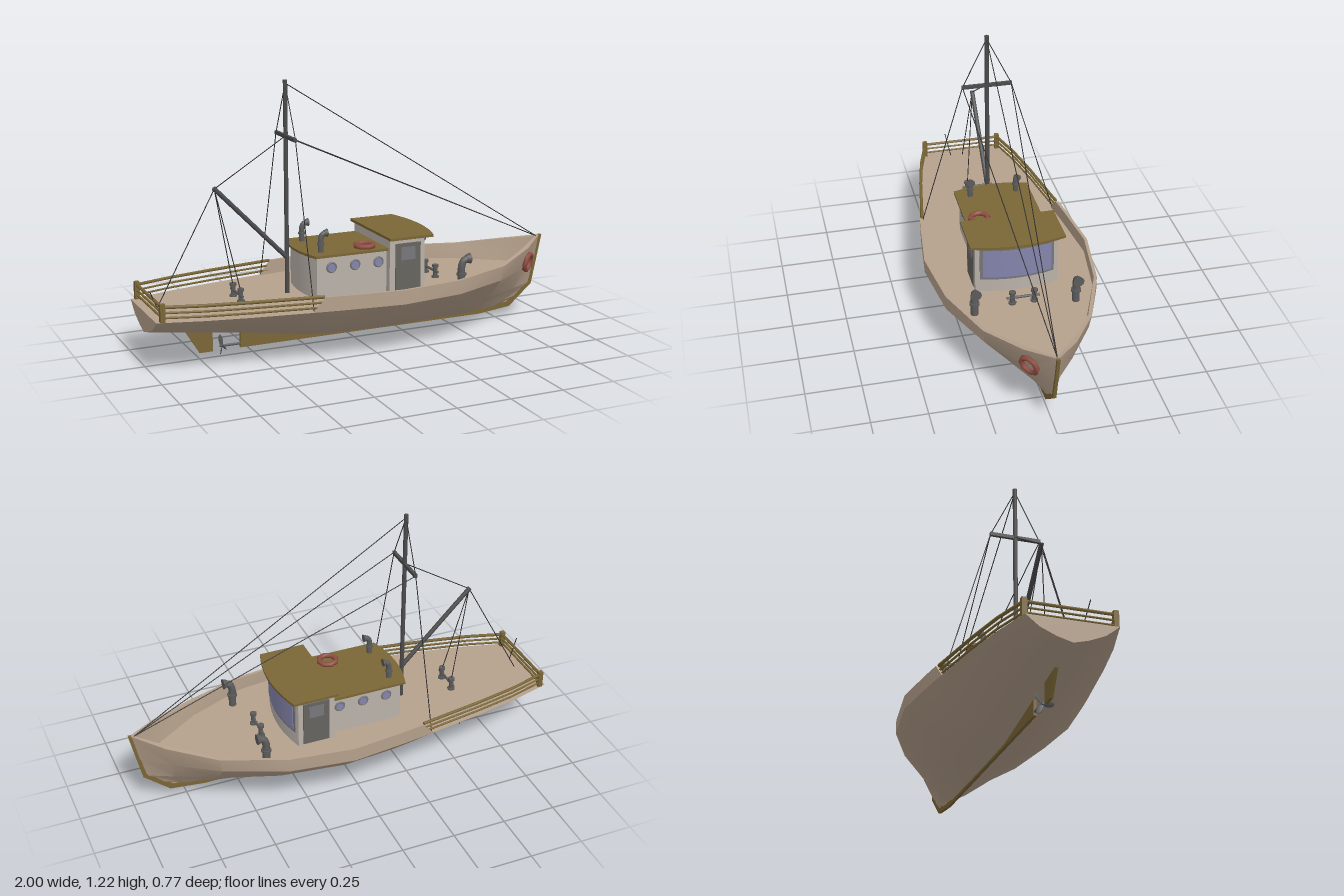
import * as THREE from 'three';
import { toCreasedNormals } from 'three/addons/utils/BufferGeometryUtils.js';

const V = (x, y, z) => new THREE.Vector3(x, y, z);
const mat = (color) => new THREE.MeshStandardMaterial({ color, side: THREE.DoubleSide });
const M = {
  hull: mat(0xb5a08c), trim: mat(0x7a6636), wall: mat(0xbab2aa), iron: mat(0x5c5c5c), spar: mat(0x4c4c4c),
  glass: mat(0x8484ac), frame: mat(0x77777c), door: mat(0x66645f), buoy: mat(0x8f4e42), rope: mat(0x2c2c2c),
};
const DECK = 0.26;

// stations from stern to stem: x, half width, rail height, keel height, flare, fineness
const STATIONS = [
  [-1, 0.195, DECK, 0.165, 1, 0], [-0.8, 0.25, DECK, 0.138, 1, 0], [-0.6, 0.29, DECK, 0.11, 1, 0],
  [-0.34, 0.332, DECK, 0.068, 1, 0], [-0.28, 0.342, 0.325, 0.058, 1, 0], [-0.18, 0.356, 0.325, 0.045, 1, 0],
  [0.07, 0.385, 0.325, 0.042, 1, 0], [0.37, 0.345, 0.325, 0.042, 1, 0.2], [0.65, 0.24, 0.332, 0.042, 0.96, 0.6],
  [0.85, 0.115, 0.365, 0.05, 0.88, 1],
];
const STEM = [[0.82, 0.06], [0.88, 0.105], [0.94, 0.16], [0.963, DECK], [0.99, 0.395],
  [0.965, 0.388], [0.945, DECK], [0.945, DECK]];

function createHull() {
  // each section runs keel - bilge - deck edge - rail - inside of bulwark - deck centre
  const sections = STATIONS.map(([x, w, top, k, flare, fine]) => {
    const h = DECK - k, wd = w * flare;
    const rows = [[0, k], [wd * (0.34 - 0.09 * fine), k + 0.19 * h], [wd * (0.7 - 0.15 * fine), k + 0.51 * h],
      [wd, DECK], [w, top], [w - 0.014, top], [wd - 0.014, DECK], [0, DECK]];
    return rows.map(([z, y], r) => {
      const px = x < 0.37 ? x : 0.37 + (x - 0.37) * (STEM[r][0] - 0.37) / 0.61;
      return [px, y, z];
    });
  });
  sections.push(STEM.map(([x, y]) => [x, y, 0]));
  const pos = [];
  for (const s of [1, -1]) {
    const tri = (a, b, c) => {
      for (const p of s > 0 ? [a, b, c] : [a, c, b]) pos.push(p[0], p[1], p[2] * s);
    };
    for (let i = 0; i < sections.length - 1; i++) {
      const A = sections[i], B = sections[i + 1];
      for (let r = 0; r < 7; r++) {
        tri(A[r], B[r], B[r + 1]);
        tri(A[r], B[r + 1], A[r + 1]);
      }
    }
    for (let r = 0; r < 6; r++) tri(sections[0][7], sections[0][r], sections[0][r + 1]); // transom
  }
  const g = new THREE.BufferGeometry();
  g.setAttribute('position', new THREE.Float32BufferAttribute(pos, 3));
  return toCreasedNormals(g, 0.45);
}

export function createModel() {
  const root = new THREE.Group();
  const add = (name, geo, material, x = 0, y = 0, z = 0, parent = root) => {
    const m = new THREE.Mesh(geo, material);
    m.name = name;
    m.position.set(x, y, z);
    parent.add(m);
    return m;
  };
  const group = (name, x = 0, y = 0, z = 0) => {
    const g = new THREE.Group();
    g.name = name;
    g.position.set(x, y, z);
    root.add(g);
    return g;
  };
  // round bar between two points
  const bar = (name, a, b, r, material, sides = 8, parent = root) => {
    const d = b.clone().sub(a);
    const m = add(name, new THREE.CylinderGeometry(r, r, d.length(), sides), material, 0, 0, 0, parent);
    m.position.copy(a).addScaledVector(d, 0.5);
    m.quaternion.setFromUnitVectors(V(0, 1, 0), d.normalize());
    return m;
  };
  // thin upright plate in the centre plane
  const plate = (name, pts, t) => {
    const shape = new THREE.Shape(pts.map((p) => new THREE.Vector2(...p)));
    add(name, new THREE.ExtrudeGeometry(shape, { depth: t, bevelEnabled: false }), M.trim, 0, 0, -t / 2);
  };
  // upright block whose fore and aft ends bulge outwards
  const block = (name, x0, x1, hw, back, front, y0, y1, material) => {
    const pts = [], N = 10;
    for (let i = 0; i <= N; i++) {
      const t = -1 + 2 * i / N;
      pts.push(new THREE.Vector2(x1 + front * (1 - t * t), t * hw));
    }
    for (let i = 0; i <= N; i++) {
      const t = 1 - 2 * i / N;
      pts.push(new THREE.Vector2(x0 - back * (1 - t * t), t * hw));
    }
    const g = new THREE.ExtrudeGeometry(new THREE.Shape(pts), { depth: y1 - y0, bevelEnabled: false });
    g.rotateX(-Math.PI / 2);
    add(name, toCreasedNormals(g, 0.5), material, 0, y0, 0);
  };

  add('hull', createHull(), M.hull);

  // keel, stem and rudder
  plate('keelAndStem', [[-0.56, 0.035], [0.66, 0.035], [0.825, 0.053], [0.945, 0.155], [0.997, 0.395], [0.983, 0.395],
    [0.93, 0.17], [0.81, 0.075], [0.6, 0.06], [-0.18, 0.06], [-0.56, 0.12]], 0.014);
  plate('rudder', [[-0.82, 0.15], [-0.75, 0.035], [-0.69, 0.035], [-0.69, 0.135]], 0.014);

  // propeller
  bar('propellerShaft', V(-0.55, 0.053, 0), V(-0.655, 0.053, 0), 0.006, M.iron);
  const prop = group('propeller', -0.645, 0.053, 0);
  for (let i = 0; i < 3; i++) {
    const g = new THREE.SphereGeometry(1, 8, 6);
    g.scale(0.003, 0.025, 0.014).rotateY(0.5).translate(0, 0.027, 0);
    g.rotateX(-2.7 + i * Math.PI * 2 / 3);
    add('propellerBlade', g, M.iron, 0, 0, 0, prop);
  }

  // deckhouse and wheelhouse
  block('deckhouse', -0.25, 0.1, 0.155, 0.02, 0, DECK, 0.455, M.wall);
  block('deckhouseRoof', -0.265, 0.09, 0.178, 0.03, 0, 0.452, 0.463, M.trim);
  block('wheelhouse', 0.09, 0.265, 0.19, 0, 0.03, DECK, 0.505, M.wall);
  block('wheelhouseRoof', 0.08, 0.295, 0.217, 0, 0.035, 0.504, 0.516, M.trim);
  block('windscreenFrame', 0.2, 0.274, 0.17, 0, 0.025, 0.325, 0.487, M.frame);
  block('windscreen', 0.2, 0.28, 0.157, 0, 0.022, 0.337, 0.475, M.glass);
  for (const s of [1, -1]) {
    add('door', new THREE.BoxGeometry(0.125, 0.215, 0.008), M.door, 0.18, 0.375, s * 0.191);
    add('doorWindow', new THREE.BoxGeometry(0.07, 0.06, 0.004), M.frame, 0.18, 0.435, s * 0.195);
    for (const x of [-0.18, -0.065, 0.05]) {
      add('portholeRim', new THREE.TorusGeometry(0.021, 0.005, 6, 16), M.frame, x, 0.4, s * 0.156);
      add('portholeGlass', new THREE.CylinderGeometry(0.02, 0.02, 0.006, 16).rotateX(Math.PI / 2), M.glass, x, 0.4, s * 0.156);
    }
  }

  // cowl vents facing forward
  const vent = (x, y, z, h, r) => {
    const g = group('cowlVent', x, y, z);
    const path = new THREE.CatmullRomCurve3([V(0, 0, 0), V(0, h * 0.5, 0), V(0, h - r * 1.6, 0),
      V(r * 0.45, h - r * 0.4, 0), V(r * 1.4, h, 0)]);
    add('ventPipe', new THREE.TubeGeometry(path, 14, r * 0.75, 10), M.iron, 0, 0, 0, g);
    add('ventMouth', new THREE.CylinderGeometry(r * 1.1, r * 0.75, r * 0.9, 10).rotateZ(-Math.PI / 2), M.iron, r * 1.4, h, 0, g);
    add('ventCollar', new THREE.CylinderGeometry(r, r, r * 0.5, 10), M.iron, 0, h * 0.45, 0, g);
  };
  for (const s of [1, -1]) {
    vent(0.435, DECK, s * 0.23, 0.127, 0.023);
    vent(-0.212, 0.46, s * 0.11, 0.088, 0.017);
  }

  // mooring bitts
  for (const x of [0.395, -0.57]) {
    const g = group('mooringBitts', x, DECK, 0);
    bar('bittBar', V(0, 0.03, -0.075), V(0, 0.03, 0.075), 0.006, M.iron, 8, g);
    for (const s of [1, -1]) {
      add('bittBase', new THREE.CylinderGeometry(0.018, 0.018, 0.008, 8), M.iron, 0, 0.004, s * 0.05, g);
      add('bittPost', new THREE.CylinderGeometry(0.011, 0.011, 0.055, 8), M.iron, 0, 0.03, s * 0.05, g);
      add('bittCap', new THREE.CylinderGeometry(0.016, 0.016, 0.012, 8), M.iron, 0, 0.056, s * 0.05, g);
    }
  }

  // lifebuoys
  const buoy = () => new THREE.TorusGeometry(0.041, 0.012, 8, 8);
  add('roofLifebuoy', buoy().rotateX(Math.PI / 2), M.buoy, 0, 0.472, 0.113);
  add('bowLifebuoy', buoy().rotateX(0.2).rotateY(0.68), M.buoy, 0.872, 0.29, 0.093);

  // mast, crosstree and boom
  bar('mast', V(-0.33, DECK, 0), V(-0.33, 1.225, 0), 0.0105, M.spar);
  add('crosstree', new THREE.BoxGeometry(0.014, 0.016, 0.235), M.spar, -0.33, 0.975, 0);
  bar('boom', V(-0.33, 0.425, 0), V(-0.668, 0.772, 0), 0.0105, M.spar);

  // rigging
  const top = V(-0.33, 1.21, 0), tip = V(-0.665, 0.768, 0), bow = V(0.97, 0.388, 0);
  const rope = (a, b) => bar('rigging', a, b, 0.0022, M.rope, 5);
  rope(top, bow);
  rope(tip, V(-0.33, 0.978, 0));
  rope(tip, V(-0.94, DECK, 0));
  for (const s of [1, -1]) {
    const end = V(-0.33, 0.975, s * 0.115);
    rope(end, bow);
    rope(end, top);
    rope(end, V(-0.335, DECK, s * 0.325));
    rope(tip, V(-0.57, 0.31, s * 0.05));
  }
  rope(V(-0.99, 0.365, 0.08), V(-0.945, DECK, 0.06));

  // stern railing
  const edge = [[-0.972, 0.19], [-0.8, 0.24], [-0.6, 0.28], [-0.34, 0.322], [-0.29, 0.331]];
  [[0.325, 0.0075], [0.3, 0.005], [0.278, 0.005]].forEach(([y, r]) => {
    bar('sternRail', V(-0.972, y, -0.19), V(-0.972, y, 0.19), r, M.trim, 6);
    for (const s of [1, -1]) for (let i = 0; i < 4; i++) {
      bar('sideRail', V(edge[i][0], y, s * edge[i][1]), V(edge[i + 1][0], y, s * edge[i + 1][1]), r, M.trim, 6);
    }
  });
  for (const s of [1, -1]) {
    add('cornerPost', new THREE.BoxGeometry(0.022, 0.08, 0.022), M.trim, -0.972, 0.3, s * 0.19);
  }
  return root;
}
